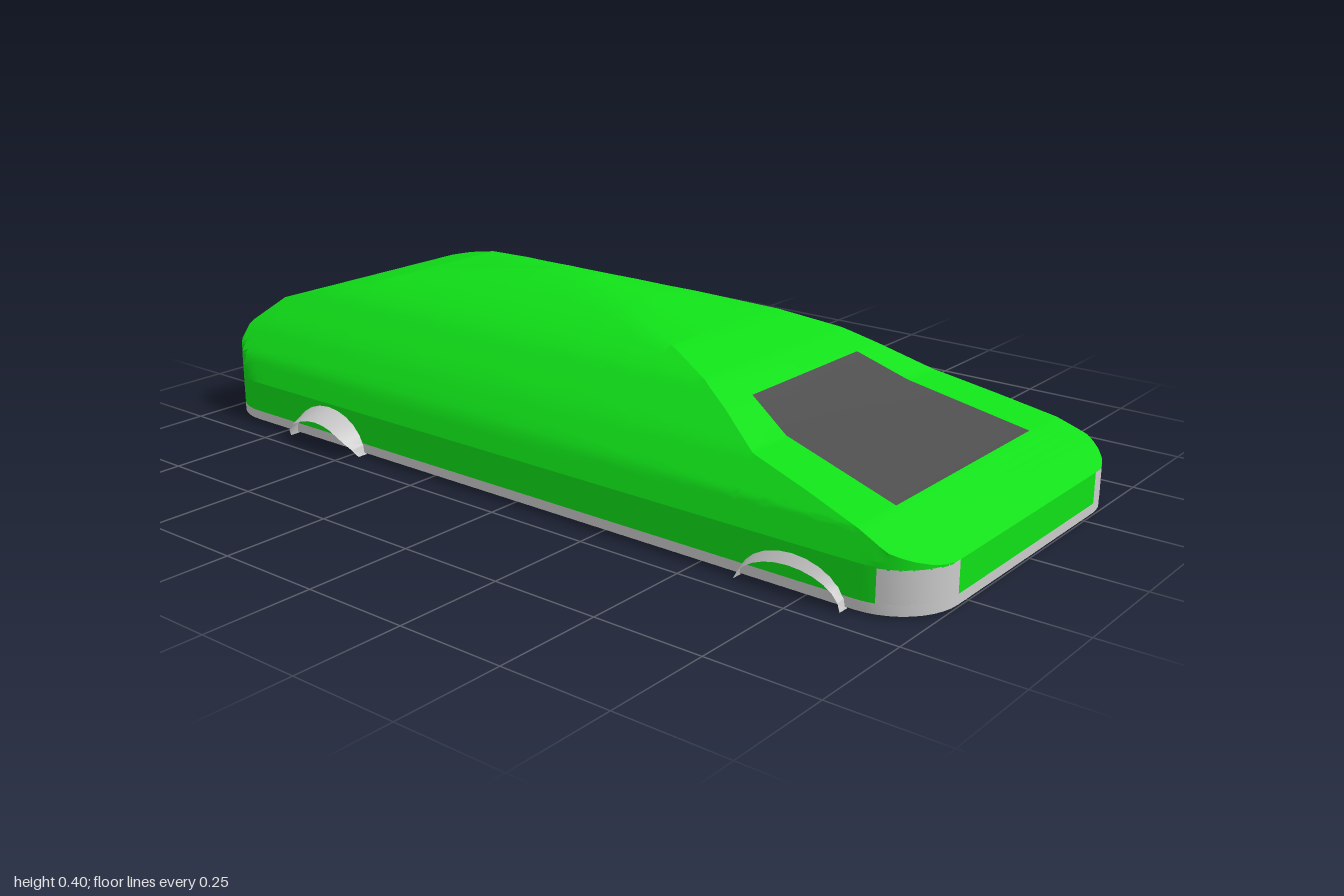
import * as THREE from 'three';
import { toCreasedNormals } from 'three/addons/utils/BufferGeometryUtils.js';

const GREEN = 0x10e018, GREY = 0xcccccc, DARK = 0x4e4e4e;
const CX = 0.86, CZ = 0.29, R = 0.14;      // plan corner centres and radius
const FLOOR = 0.005, SILL = 0.027, BELT = 0.095;

// Roofline as [x, y], and half cross-section as [y, z]
const ROOF = [[-1, 0.1], [-0.985, 0.165], [-0.955, 0.225], [-0.9, 0.28], [-0.8, 0.308], [-0.65, 0.345],
  [-0.45, 0.376], [-0.26, 0.4], [-0.15, 0.4], [0.05, 0.379], [0.25, 0.345], [0.38, 0.312], [0.46, 0.278],
  [0.57, 0.225], [0.72, 0.19], [0.85, 0.157], [1, 0.097]];
const FLANK = [[BELT, 0.43], [0.157, 0.408], [0.222, 0.356], [0.285, 0.288], [0.31, 0.26],
  [0.345, 0.195], [0.376, 0.11], [0.4, 0.03]];

function lookup(table, t) {
  let i = 1;
  while (i < table.length - 1 && t > table[i][0]) i++;
  const [a, b] = [table[i - 1], table[i]];
  return THREE.MathUtils.mapLinear(THREE.MathUtils.clamp(t, a[0], b[0]), a[0], b[0], a[1], b[1]);
}

// Half width of the rounded-rectangle footprint at x
function planHalf(x) {
  const d = Math.max(0, Math.abs(x) - CX);
  return CZ + Math.sqrt(Math.max(0, R * R - d * d));
}

// Surface through rows of [x, y, z] points
function grid(rows, crease = 0.5) {
  const n = rows[0].length, index = [];
  for (let i = 0; i < rows.length - 1; i++) {
    for (let j = 0; j < n - 1; j++) {
      const a = i * n + j, b = a + n;
      index.push(a, b, b + 1, a, b + 1, a + 1);
    }
  }
  const g = new THREE.BufferGeometry();
  g.setAttribute('position', new THREE.Float32BufferAttribute(rows.flat(2), 3));
  g.setIndex(index);
  return toCreasedNormals(g, crease);
}

// Footprint points [x, z] round one corner, angles in degrees
function corner(sx, sz, from, to, steps = 10) {
  return Array.from({ length: steps + 1 }, (_, i) => {
    const a = THREE.MathUtils.degToRad(from + (to - from) * i / steps);
    return [sx * CX + R * Math.cos(a), sz * CZ + R * Math.sin(a)];
  });
}

const wall = (pts, y0, y1) => grid([y0, y1].map(y => pts.map(([x, z]) => [x, y, z])));

// Upper body: the flank section cut off at the roofline and kept inside the footprint
function bodyShell() {
  const xs = new Set(ROOF.map(p => p[0]));
  for (let i = -50; i <= 50; i++) xs.add(i / 50);
  for (const d of [0.99, 0.995, 0.998]) xs.add(d).add(-d);
  const levels = 16;
  const rows = [...xs].sort((a, b) => a - b).map(x => {
    const top = lookup(ROOF, x), half = [];
    for (let k = 0; k <= levels; k++) {
      const y = BELT + (top - BELT) * k / levels;
      half.push([x, y, Math.min(lookup(FLANK, y), planHalf(x))]);
    }
    const other = half.map(([px, y, z]) => [px, y, -z]).reverse();
    return [...half, [x, top, 0], ...other];
  });
  return grid(rows);
}

// Flared wheel arch: inner edge on the body, outer edge standing proud
function wheelArch(rx, ry, lip, reach, taper, side) {
  const inner = [], outer = [], n = 12;
  for (let i = 0; i <= n; i++) {
    const a = Math.PI * i / n, c = Math.cos(a), s = Math.sin(a);
    const z = 0.45 + (reach - 0.45) * Math.min(1, s * 1.7);
    inner.push([rx * c, ry * s, side * 0.425]);
    outer.push([(rx - taper * s) * c, (ry - lip) * s, side * z]);
  }
  return grid(side > 0 ? [inner, outer] : [outer, inner]);
}

export function createModel() {
  const car = new THREE.Group();
  car.name = 'car';
  const add = (name, geometry, color, side = THREE.FrontSide) => {
    const mesh = new THREE.Mesh(geometry, new THREE.MeshStandardMaterial({ color, side }));
    mesh.name = name;
    car.add(mesh);
    return mesh;
  };

  add('upperBody', bodyShell(), GREEN);

  // Lower band, with grey lamps wrapped round the two front corners
  const LAMP = 73;
  const rearBand = [...corner(1, 1, LAMP, 90, 3), ...corner(-1, 1, 90, 180),
    ...corner(-1, -1, 180, 270), ...corner(1, -1, 270, 360 - LAMP, 3)];
  add('lowerBand', wall(rearBand, SILL, 0.1), GREEN);
  add('frontBumper', wall([[1, -CZ], [1, CZ]], SILL, 0.097), GREEN);
  add('lampLeft', wall(corner(1, 1, 0, LAMP), SILL, 0.097), GREY);
  add('lampRight', wall(corner(1, -1, -LAMP, 0), SILL, 0.097), GREY);

  // Floor pan
  const outline = [...corner(1, 1, 0, 90), ...corner(-1, 1, 90, 180),
    ...corner(-1, -1, 180, 270), ...corner(1, -1, 270, 360)];
  const shape = new THREE.Shape(outline.map(([x, z]) => new THREE.Vector2(x, -z)));
  const pan = new THREE.ExtrudeGeometry(shape, { depth: SILL - FLOOR, bevelEnabled: false });
  pan.rotateX(-Math.PI / 2).translate(0, FLOOR, 0);
  add('floorPan', toCreasedNormals(pan, 0.5), GREY);

  // Windscreen lying just above the sloping nose
  const glass = [[0.46, 0.2], [0.57, 0.237], [0.85, 0.275]]
    .map(([x, z]) => [z, -z].map(w => [x, lookup(ROOF, x) + 0.004, w]));
  add('windscreen', grid(glass), DARK, THREE.DoubleSide);

  // Wheel arches
  for (const side of [1, -1]) {
    const tag = side > 0 ? 'Left' : 'Right';
    add('rearArch' + tag, wheelArch(0.12, 0.095, 0.03, 0.475, 0.02, side), GREY, THREE.DoubleSide)
      .position.x = -0.595;
    add('frontArch' + tag, wheelArch(0.122, 0.086, 0.026, 0.445, 0.01, side), GREY, THREE.DoubleSide)
      .position.x = 0.72;
  }
  return car;
}
